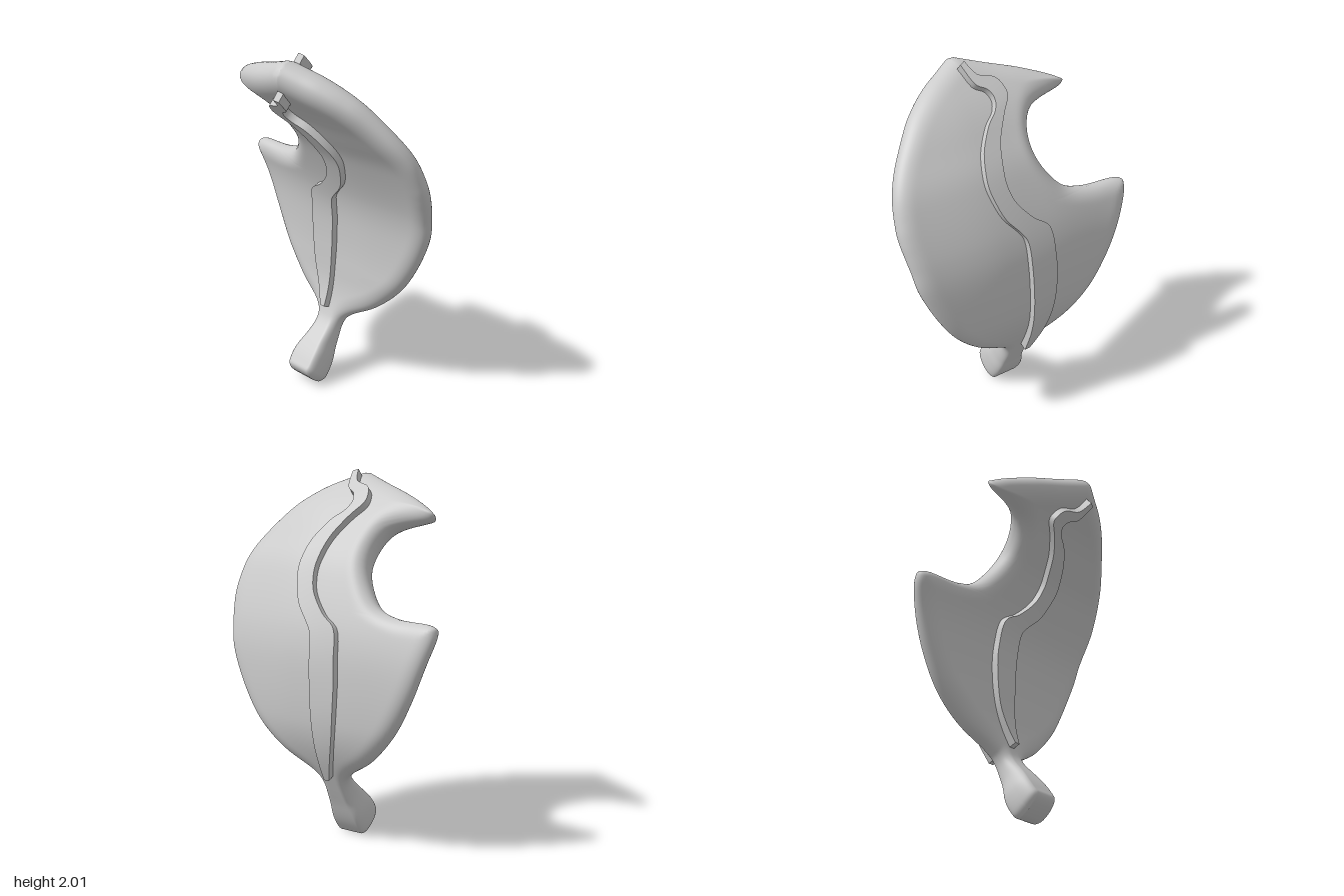
import * as THREE from 'three';
import { mergeVertices, toCreasedNormals } from 'three/addons/utils/BufferGeometryUtils.js';

const { smoothstep, lerp, clamp } = THREE.MathUtils;
const curve = (pts) => new THREE.SplineCurve(pts.map(([x, y]) => new THREE.Vector2(x, y)));

// Side bend of the leaf as (height, depth)
const spine = curve([[-0.06, 0.155], [0.045, 0.048], [0.2, -0.06], [0.36, -0.16], [0.6, -0.237],
  [0.9, -0.25], [1.155, -0.215], [1.435, -0.103], [1.6, 0.0], [1.77, 0.132], [1.96, 0.34], [2.05, 0.45]]);

// Flat coordinates (x, t) plus an offset w along the bend's front normal;
// the model's right side sweeps back, most of all the upper prong, the left side a little forward
function bend(x, t, w) {
  let lo = 0, hi = 1;
  for (let i = 0; i < 30; i++) {
    const m = (lo + hi) / 2;
    if (spine.getPoint(m).x < t) lo = m; else hi = m;
  }
  const p = spine.getPoint(lo), d = spine.getTangent(lo);
  const sweep = x < 0 ? lerp(0.09, 0.25, smoothstep(t, 1.3, 1.7)) : -0.06;
  return [x, p.x - d.y * w, p.y + d.x * w - sweep * x * x];
}

// Matching left and right outlines of the leaf, from stem end to tip
const leafLeft = [[-0.105, 0.033], [-0.13, 0.065], [-0.13, 0.15], [-0.1, 0.25], [-0.1, 0.34], [-0.15, 0.405],
  [-0.3, 0.505], [-0.45, 0.67], [-0.56, 0.87], [-0.64, 1.08], [-0.68, 1.22], [-0.64, 1.265], [-0.43, 1.275],
  [-0.28, 1.335], [-0.17, 1.52], [-0.23, 1.69], [-0.46, 1.765], [-0.44, 1.8], [-0.28, 1.855], [-0.1, 1.905],
  [0.06, 1.955]];
const leafRight = [[0.045, 0.033], [0.07, 0.065], [0.07, 0.15], [0.06, 0.23], [0.06, 0.33], [0.11, 0.395],
  [0.27, 0.49], [0.42, 0.63], [0.53, 0.8], [0.62, 1.0], [0.65, 1.14], [0.665, 1.22], [0.675, 1.29],
  [0.675, 1.37], [0.65, 1.5], [0.585, 1.62], [0.47, 1.755], [0.38, 1.825], [0.28, 1.88], [0.18, 1.92],
  [0.09, 1.955]];

// Matching left and right edges of the midrib
const ribLeft = [[-0.045, 0.4], [-0.12, 0.64], [-0.145, 0.87], [-0.14, 1.02], [-0.12, 1.17], [-0.03, 1.24],
  [0.05, 1.33], [0.08, 1.41], [0.08, 1.49], [0.045, 1.6], [-0.02, 1.69], [-0.08, 1.75], [-0.08, 1.79],
  [-0.05, 1.825], [0.035, 1.85], [0.07, 1.905]];
const ribRight = [[-0.012, 0.4], [-0.003, 0.62], [0.007, 0.86], [0.015, 1.0], [0.025, 1.13], [0.06, 1.19],
  [0.13, 1.27], [0.17, 1.36], [0.19, 1.46], [0.16, 1.57], [0.09, 1.665], [0.02, 1.715], [-0.003, 1.755],
  [0.015, 1.79], [0.07, 1.82], [0.1, 1.895]];

function distanceToOutline(x, y, poly) {
  let best = Infinity;
  poly.forEach((a, i) => {
    const b = poly[(i + 1) % poly.length], dx = b.x - a.x, dy = b.y - a.y;
    const k = clamp(((x - a.x) * dx + (y - a.y) * dy) / (dx * dx + dy * dy || 1), 0, 1);
    best = Math.min(best, Math.hypot(x - a.x - k * dx, y - a.y - k * dy));
  });
  return best;
}

function geometryFrom(positions, index) {
  const g = new THREE.BufferGeometry();
  g.setAttribute('position', new THREE.Float32BufferAttribute(positions, 3));
  g.setIndex(index);
  return g;
}

// Half thickness: stout stem end, slim neck, full blade thinning to the sides
function halfThickness(x, t) {
  if (t < 0.35) return lerp(0.094, 0.056, smoothstep(t, 0.1, 0.35));
  const blade = lerp(0.056, 0.083, smoothstep(t, 0.35, 0.7)) + 0.009 * smoothstep(t, 1.1, 1.6);
  return blade * lerp(1, 0.68, smoothstep(Math.abs(x), 0.15, 0.65));
}

// Two sheets that meet at the outline, swelling into a rounded rim
function leafGeometry() {
  const rows = 140, cols = 48;
  const L = curve(leafLeft).getPoints(rows), R = curve(leafRight).getPoints(rows);
  const outline = [...L, ...R.slice().reverse()];
  const positions = [[], []], index = [];
  for (let i = 0; i <= rows; i++) {
    for (let j = 0; j <= cols; j++) {
      const u = (1 - Math.cos(Math.PI * j / cols)) / 2;
      const x = lerp(L[i].x, R[i].x, u), t = lerp(L[i].y, R[i].y, u);
      const rim = lerp(0.035, 0.09, smoothstep(t, 0.25, 0.5));
      const onEdge = i === 0 || i === rows || j === 0 || j === cols;
      const q = onEdge ? 0 : Math.min(distanceToOutline(x, t, outline) / rim, 1);
      const w = halfThickness(x, t) * Math.pow(1 - Math.pow(1 - q, 2.2), 1 / 2.2);
      positions[0].push(...bend(x, t, w));
      positions[1].push(...bend(x, t, -w));
    }
  }
  const back = (rows + 1) * (cols + 1);
  for (let i = 0; i < rows; i++) {
    for (let j = 0; j < cols; j++) {
      const a = i * (cols + 1) + j, b = a + 1, d = a + cols + 1, c = d + 1;
      index.push(a, b, c, a, c, d);
      index.push(back + a, back + c, back + b, back + a, back + d, back + c);
    }
  }
  const g = mergeVertices(geometryFrom(positions[0].concat(positions[1]), index), 1e-5);
  g.computeVertexNormals();
  return g;
}

// Square-edged winding band passing through the leaf, proud on both faces and deeper towards the tip
function ribGeometry() {
  const rows = 90;
  const L = curve(ribLeft).getPoints(rows), R = curve(ribRight).getPoints(rows);
  const positions = [], index = [];
  for (let i = 0; i <= rows; i++) {
    const t = L[i].y;
    const half = lerp(0.1, 0.123, smoothstep(t, 0.35, 0.8)) + 0.014 * smoothstep(t, 1.1, 1.9);
    positions.push(...bend(L[i].x, L[i].y, half), ...bend(R[i].x, R[i].y, half),
      ...bend(R[i].x, R[i].y, -half), ...bend(L[i].x, L[i].y, -half));
  }
  for (let i = 0; i < rows; i++) {
    for (let k = 0; k < 4; k++) {
      const a = i * 4 + k, b = i * 4 + (k + 1) % 4;
      index.push(a, b, b + 4, a, b + 4, a + 4);
    }
  }
  const e = rows * 4;
  index.push(0, 2, 1, 0, 3, 2, e, e + 1, e + 2, e, e + 2, e + 3);
  return toCreasedNormals(geometryFrom(positions, index), 0.6);
}

export function createModel() {
  const group = new THREE.Group();
  group.name = 'curledLeaf';
  const material = new THREE.MeshStandardMaterial({ color: 0xcccccc });
  const add = (name, geometry) => {
    const mesh = new THREE.Mesh(geometry, material);
    mesh.name = name;
    group.add(mesh);
  };
  add('leafBladeAndStem', leafGeometry());
  add('midrib', ribGeometry());
  return group;
}
